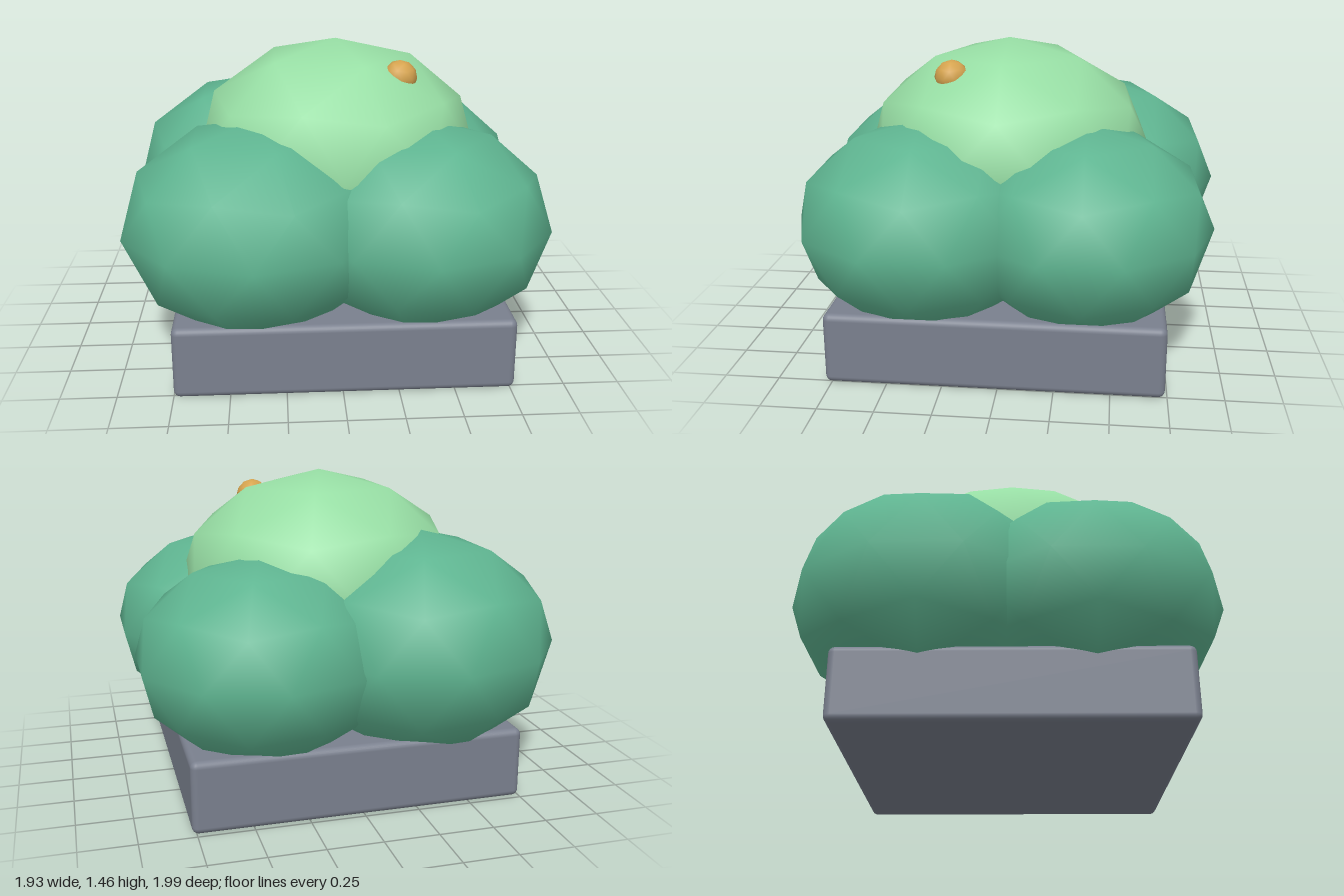
import * as THREE from 'three';
import { RoundedBoxGeometry } from 'three/addons/geometries/RoundedBoxGeometry.js';

const material = (name, color) => {
  const m = new THREE.MeshStandardMaterial({ color });
  m.name = name;
  return m;
};

// Smooth-shaded low-poly ball with one corner pointing straight up
function blob(name, mat, [x, y, z], radius, height) {
  const geometry = new THREE.IcosahedronGeometry(1, 1);
  geometry.rotateZ(-Math.atan(2 / (1 + Math.sqrt(5))));
  geometry.scale(radius, height, radius);
  const mesh = new THREE.Mesh(geometry, mat);
  mesh.name = name;
  mesh.position.set(x, y, z);
  return mesh;
}

export function createModel() {
  const stone = material('stone grey', 0x7a808e);
  const leaf = material('leaf green', 0x5fb591);
  const lightLeaf = material('light green', 0x98dfa5);
  const gold = material('gold', 0xd6a44f);

  const model = new THREE.Group();
  model.name = 'shrub';

  // Square planter slab
  const base = new THREE.Mesh(new RoundedBoxGeometry(1.52, 0.33, 1.52, 3, 0.03), stone);
  base.name = 'base';
  base.position.set(0.01, 0.165, 0.02);
  model.add(base);

  // Four lower clumps of foliage
  const clumps = [
    ['frontRightClump', [-0.38, 0.665, 0.37], 0.62, 0.49],
    ['frontLeftClump', [0.385, 0.66, 0.37], 0.6, 0.48],
    ['backRightClump', [-0.37, 0.69, -0.37], 0.63, 0.52],
    ['backLeftClump', [0.38, 0.66, -0.365], 0.585, 0.475],
  ];
  for (const [name, position, radius, height] of clumps) {
    model.add(blob(name, leaf, position, radius, height));
  }

  // Lighter crown and its small fruit
  model.add(blob('crown', lightLeaf, [0.01, 0.94, 0.02], 0.68, 0.52));
  model.add(blob('fruit', gold, [0.29, 1.315, 0.255], 0.08, 0.08));

  return model;
}
